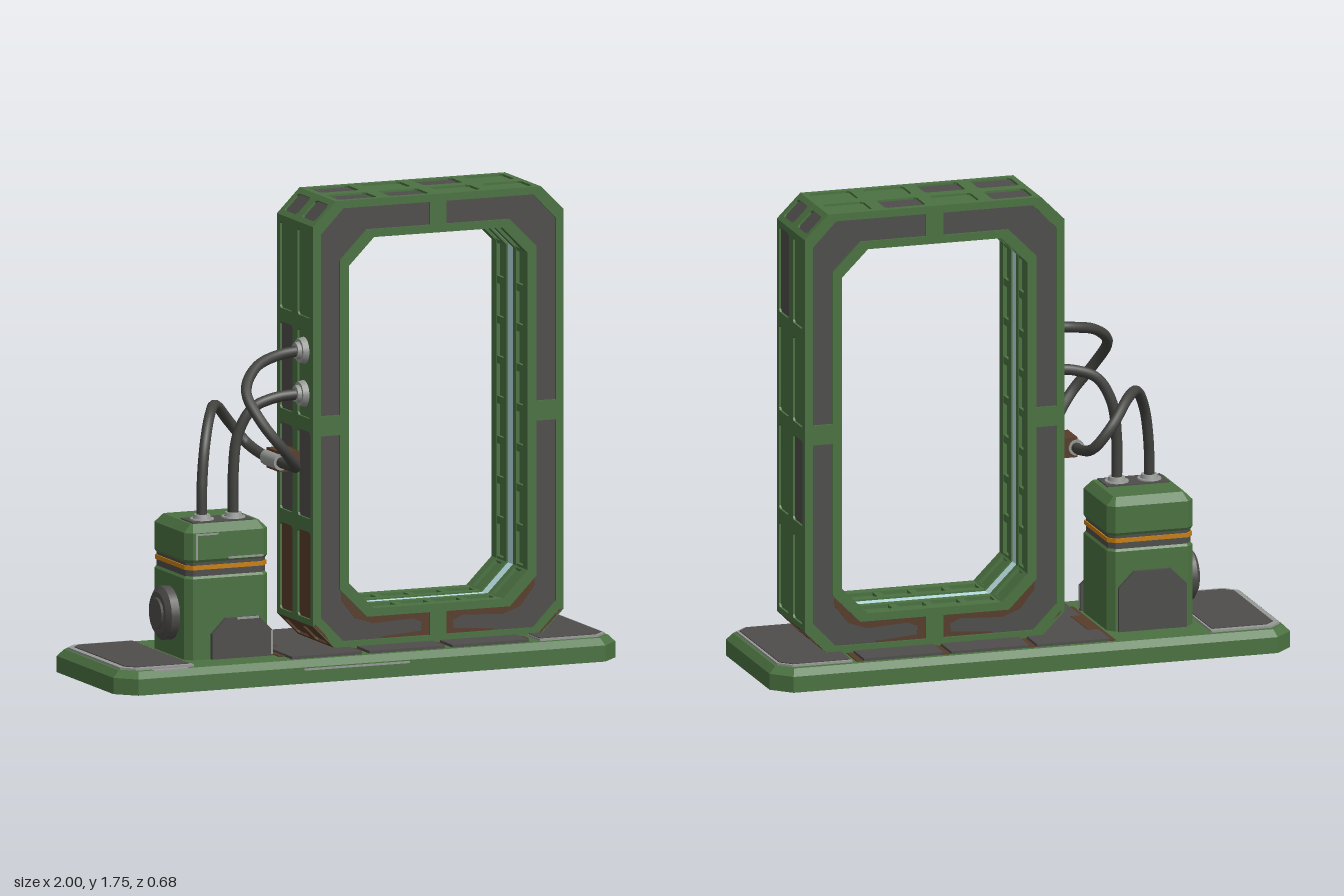
import * as THREE from 'three';

const mat = (name, color) => Object.assign(new THREE.MeshStandardMaterial({ color }), { name });
const V2 = (x, y) => new THREE.Vector2(x, y);

export function createModel() {
  const green = mat('green paint', 0x4b7241);
  const grey = mat('dark grey panel', 0x4e4d4b);
  const rust = mat('rust brown', 0x583c29);
  const cableMat = mat('cable rubber', 0x42423f);
  const metal = mat('worn light metal', 0x979a96);
  const glow = mat('pale blue light', 0xb9dfe2);
  const orange = mat('orange stripe', 0xc8800f);

  const model = new THREE.Group();
  model.name = 'portalMachine';
  const add = (parent, name, geo, m, x = 0, y = 0, z = 0) => {
    const mesh = new THREE.Mesh(geo, m);
    mesh.name = name;
    mesh.position.set(x, y, z);
    parent.add(mesh);
    return mesh;
  };
  const box = (parent, name, m, x0, x1, y0, y1, z0, z1) => add(parent, name,
    new THREE.BoxGeometry(x1 - x0, y1 - y0, z1 - z0), m, (x0 + x1) / 2, (y0 + y1) / 2, (z0 + z1) / 2);

  // Counter-clockwise rectangle with cut corners, inset evenly by d
  const oct = (w, h, c, d = 0) => {
    w -= d; h -= d; c -= 0.586 * d;
    return [V2(w, c - h), V2(w, h - c), V2(w - c, h), V2(c - w, h),
      V2(-w, h - c), V2(-w, c - h), V2(c - w, -h), V2(w - c, -h)];
  };
  const rect = (x0, x1, y0, y1) => [V2(x0, y0), V2(x1, y0), V2(x1, y1), V2(x0, y1)];
  const extrude = (pts, holes, depth) => {
    const s = new THREE.Shape(pts);
    holes.forEach(h => s.holes.push(new THREE.Path(h)));
    return new THREE.ExtrudeGeometry(s, { depth, bevelEnabled: false });
  };
  const flat = (parent, name, pts, holes, m, y0, y1) => {
    const mesh = add(parent, name, extrude(pts, holes, y1 - y0), m, 0, y0, 0);
    mesh.rotation.x = -Math.PI / 2;
    return mesh;
  };
  // Upright block lofted through [height, inset] levels
  const loft = (w, h, c, levels) => {
    const rings = levels.map(([y, d]) => oct(w, h, c, d).map(p => [p.x, y, -p.y]));
    const pos = [], top = rings.length - 1;
    for (let i = 0; i < 8; i++) {
      const j = (i + 1) % 8;
      for (let r = 0; r < top; r++) {
        const [a, b, e, f] = [rings[r][i], rings[r][j], rings[r + 1][j], rings[r + 1][i]];
        pos.push(...a, ...b, ...e, ...a, ...e, ...f);
      }
      if (i > 0 && i < 7) {
        pos.push(...rings[top][0], ...rings[top][i], ...rings[top][j]);
        pos.push(...rings[0][0], ...rings[0][j], ...rings[0][i]);
      }
    }
    const g = new THREE.BufferGeometry();
    g.setAttribute('position', new THREE.Float32BufferAttribute(pos, 3));
    g.computeVertexNormals();
    return g;
  };

  // ---- Base with deck panels above and matching panels in a recess below
  const base = new THREE.Group();
  base.name = 'base';
  base.position.z = -0.01;
  model.add(base);
  add(base, 'baseSlab', loft(1, 0.33, 0.07, [[0.012, 0], [0.06, 0], [0.085, 0.025]]), green);
  flat(base, 'undersideRim', oct(1, 0.33, 0.07), [oct(1, 0.33, 0.07, 0.035)], green, 0, 0.012);
  const endPanel = (s, e) => [V2(s * (0.69 + e / 3), e - 0.285), V2(s * (0.92 - e / 2), e - 0.285),
    V2(s * (0.965 - e), e / 2 - 0.24), V2(s * (0.965 - e), 0.24 - e / 2),
    V2(s * (0.92 - e / 2), 0.285 - e), V2(s * (0.69 + e / 3), 0.285 - e)];
  for (const [s, worn] of [[-1, 0.022], [1, 0.01]]) {
    flat(base, 'wornPanelEdge', endPanel(s, 0), [], metal, 0.084, 0.093);
    flat(base, 'endPanel', endPanel(s, worn), [], grey, 0.084, 0.096);
    flat(base, 'undersideWornEdge', endPanel(s, 0), [], metal, 0.008, 0.013);
    flat(base, 'undersideEndPanel', endPanel(s, worn), [], grey, 0.006, 0.013);
  }
  for (const [x0, x1] of [[-0.3, -0.02], [0.01, 0.31], [0.34, 0.645]]) {
    box(base, 'deckPanel', grey, x0, x1, 0.084, 0.095, -0.285, 0.285);
    box(base, 'undersidePanel', grey, x0 - 0.012, x1 + 0.012, 0.006, 0.013, -0.285, 0.285);
  }
  for (const x of [-0.31, -0.005, 0.325, 0.66])
    box(base, 'rustySeam', rust, x - 0.012, x + 0.012, 0.084, 0.088, -0.285, 0.22);
  box(base, 'rustPatch', rust, -0.305, -0.26, 0.09, 0.0965, -0.14, 0.06);
  box(base, 'edgeWear', metal, -0.27, 0.15, 0.048, 0.056, 0.325, 0.3315);
  box(base, 'edgeWear', metal, -0.86, -0.72, 0.077, 0.086, 0.29, 0.31);

  // ---- Portal frame, centred on its own group
  const frame = new THREE.Group();
  frame.name = 'portalFrame';
  frame.position.set(0.334, 0.919, -0.006);
  model.add(frame);
  const W = 0.499, H = 0.831, C = 0.09, D = 0.166, lift = 0.012;
  const inner = d => oct(0.356, 0.688, 0.1, d);
  const ring = (name, outer, hole, z0, z1, m) => add(frame, name, extrude(outer, [hole], z1 - z0), m, 0, 0, z0);
  ring('frameCore', oct(W, H, C, lift), inner(-0.014), lift - D, D - lift, green);

  // Corner-shaped openings in the front and back face
  const quarter = [V2(0.468, 0.037), V2(0.468, 0.71), V2(0.378, 0.803), V2(0.033, 0.803),
    V2(0.033, 0.718), V2(0.285, 0.718), V2(0.392, 0.61), V2(0.392, 0.037)];
  const quarters = [[1, 1], [-1, 1], [-1, -1], [1, -1]].map(([a, b]) => quarter.map(p => V2(a * p.x, b * p.y)));
  for (const s of [-1, 1]) {
    const span = (a, b) => s > 0 ? [a, b] : [-b, -a];
    const [f0, f1] = span(D - lift, D);
    add(frame, 'faceBorder', extrude(oct(W, H, C), [inner(0), ...quarters], f1 - f0), green, 0, 0, f0);
    const [p0, p1] = span(D - lift, D - 0.008);
    quarters.forEach(q => add(frame, 'facePanel', extrude(q, [], p1 - p0), grey, 0, 0, p0));
    const [r0, r1] = span(D - 0.009, D - 0.006);
    for (const k of [-1, 1]) {
      const m = (x, y) => V2(k * x, y);
      add(frame, 'rustStain', extrude([m(0.034, -0.719), m(0.285, -0.719), m(0.385, -0.62), m(0.385, -0.65),
        m(0.33, -0.72), m(0.26, -0.745), m(0.1, -0.737), m(0.06, -0.755), m(0.065, -0.785), m(0.22, -0.796),
        m(0.22, -0.802), m(0.034, -0.802)], [], r1 - r0), rust, 0, 0, r0);
    }
    ring('tunnelLip', inner(-0.03), inner(0), ...span(0.122, D - lift), green);
    ring('tunnelRidge', inner(-0.03), inner(0), ...span(0.03, 0.058), green);
  }
  ring('lightStrip', inner(-0.03), inner(-0.006), -0.03, 0.03, glow);

  // Walk an outline; each edge gets a group with x along it, y to the front, z outward
  const eachEdge = (pts, fn) => pts.forEach((a, i) => {
    const b = pts[(i + 1) % 8], t = b.clone().sub(a), L = t.length();
    t.normalize();
    const g = new THREE.Group();
    g.name = 'frameSide';
    g.applyMatrix4(new THREE.Matrix4().makeBasis(new THREE.Vector3(t.x, t.y, 0),
      new THREE.Vector3(0, 0, 1), new THREE.Vector3(t.y, -t.x, 0)));
    g.position.set((a.x + b.x) / 2, (a.y + b.y) / 2, 0);
    frame.add(g);
    fn(g, L, i);
  });

  // Outer sides: raised grid over inlays (G green, D grey, R rust), front row then back row
  const inlays = [['GGGD', 'GDGG'], ['D', 'D'], ['GGDD', 'GDGD'], ['D', 'D'],
    ['GGDR', 'GDDR'], ['R', 'R'], ['GGGG', 'GGGG'], ['R', 'R']];
  eachEdge(oct(W, H, C), (g, L, i) => {
    const n = inlays[i][0].length, len = (L - 0.045 - (n - 1) * 0.05) / n, holes = [];
    for (let k = 0; k < n; k++) [0.082, -0.082].forEach((y, row) => {
      const x = -L / 2 + 0.0225 + k * (len + 0.05) + len / 2;
      holes.push(oct(len / 2, 0.058, 0.01).map(p => V2(p.x + x, p.y + y)));
      const m = { G: green, D: grey, R: rust }[inlays[i][row][k]];
      box(g, 'sideInlay', m, x - len / 2, x + len / 2, y - 0.058, y + 0.058, -lift, -0.008);
    });
    const bottom = i === 5 || i === 7;
    add(g, 'sideGrid', extrude(rect(-L / 2, L / 2, -D, D), holes, lift), bottom ? rust : green, 0, 0, -lift);
  });

  // Tunnel rungs on both sides of the light strip
  eachEdge(inner(-0.014), (g, L) => {
    const n = Math.max(1, Math.round(L / 0.14));
    for (let k = 0; k <= n; k++) for (const s of [-1, 1]) {
      const x = -L / 2 + (L * k) / n;
      box(g, 'tunnelRung', green, x - 0.014, x + 0.014, s * 0.09 - 0.034, s * 0.09 + 0.034, -0.012, 0.007);
    }
  });

  // ---- Power unit
  const unit = new THREE.Group();
  unit.name = 'powerUnit';
  unit.position.set(-0.5, 0, -0.009);
  model.add(unit);
  add(unit, 'unitBody', loft(0.165, 0.162, 0.025, [[0.08, 0], [0.385, 0], [0.395, 0.008]]), green);
  add(unit, 'unitBand', loft(0.158, 0.155, 0.022, [[0.39, 0], [0.455, 0]]), grey);
  add(unit, 'orangeStripe', loft(0.163, 0.16, 0.024, [[0.418, 0], [0.434, 0]]), orange);
  add(unit, 'unitCap', loft(0.165, 0.162, 0.025, [[0.445, 0.006], [0.455, 0], [0.555, 0], [0.585, 0.03]]), green);
  box(unit, 'socketPlate', grey, -0.125, 0.115, 0.58, 0.589, 0.01, 0.13);
  // Worn paint on the cap and guard
  box(unit, 'capWear', metal, -0.13, -0.122, 0.455, 0.552, 0.158, 0.1635);
  box(unit, 'capWear', metal, -0.13, -0.04, 0.545, 0.552, 0.158, 0.1635);
  box(unit, 'capWear', metal, 0, 0.14, 0.453, 0.461, 0.158, 0.1635);
  const plate = (x0, x1, y1, c) => [V2(x0, 0.085), V2(x1, 0.085), V2(x1, y1 - c), V2(x1 - c, y1), V2(x0 + c, y1), V2(x0, y1 - c)];
  add(unit, 'frontGuard', extrude(plate(-0.07, 0.17, 0.235, 0.055), [], 0.02), grey, 0, 0, 0.157);
  box(unit, 'guardWear', metal, 0.03, 0.115, 0.228, 0.2355, 0.172, 0.178);
  box(unit, 'guardWear', metal, 0.163, 0.171, 0.09, 0.18, 0.172, 0.178);
  add(unit, 'backGuard', extrude(plate(-0.13, 0.13, 0.31, 0.06), [], 0.02), grey, 0, 0, -0.177);
  // Round hatch on the outer side
  for (const [r0, r1, d, x] of [[0.1, 0.1, 0.035, -0.18], [0.078, 0.1, 0.015, -0.205], [0.055, 0.06, 0.01, -0.215]]) {
    const hatch = add(unit, 'roundHatch', new THREE.CylinderGeometry(r0, r1, d, 20), grey, x, 0.24, 0);
    hatch.rotation.z = Math.PI / 2;
  }

  // ---- Sockets, bracket and cables
  const collar = (x, y, z, side) => {
    const g = new THREE.Group();
    g.name = 'cableSocket';
    g.position.set(x, y, z);
    if (side) g.rotation.z = Math.PI / 2;
    model.add(g);
    add(g, 'socketRing', new THREE.CylinderGeometry(0.044, 0.05, 0.022, 16), metal, 0, 0.011, 0);
    add(g, 'socketNeck', new THREE.CylinderGeometry(0.03, 0.034, 0.016, 16), metal, 0, 0.028, 0);
  };
  collar(-0.162, 1.19, 0.07, true);
  collar(-0.162, 1.03, 0.07, true);
  collar(-0.565, 0.572, 0.06, false);
  collar(-0.44, 0.572, 0.06, false);
  box(model, 'cableBracket', rust, -0.24, -0.155, 0.735, 0.81, -0.095, 0.02);
  const sleeve = add(model, 'cableSleeve', new THREE.CylinderGeometry(0.03, 0.03, 0.13, 14), metal, -0.235, 0.772, -0.035);
  sleeve.rotation.x = Math.PI / 2;

  const cable = (name, pts) => add(model, name, new THREE.TubeGeometry(
    new THREE.CatmullRomCurve3(pts.map(p => new THREE.Vector3(...p))), 56, 0.02, 10), cableMat);
  cable('shortCable', [[-0.44, 0.58, 0.06], [-0.44, 0.75, 0.06], [-0.42, 0.89, 0.055],
    [-0.365, 0.985, 0.06], [-0.28, 1.02, 0.065], [-0.17, 1.03, 0.07]]);
  cable('frontLoopCable', [[-0.17, 1.19, 0.07], [-0.27, 1.18, 0.08], [-0.38, 1.15, 0.13], [-0.455, 1.075, 0.215],
    [-0.425, 0.97, 0.295], [-0.35, 0.87, 0.317], [-0.275, 0.795, 0.25], [-0.24, 0.775, 0.13], [-0.235, 0.772, 0]]);
  cable('backLoopCable', [[-0.565, 0.58, 0.06], [-0.56, 0.72, 0.05], [-0.535, 0.86, 0.02], [-0.48, 0.955, -0.06],
    [-0.41, 0.965, -0.17], [-0.32, 0.885, -0.255], [-0.255, 0.805, -0.245], [-0.235, 0.775, -0.15], [-0.235, 0.772, -0.06]]);
  return model;
}
